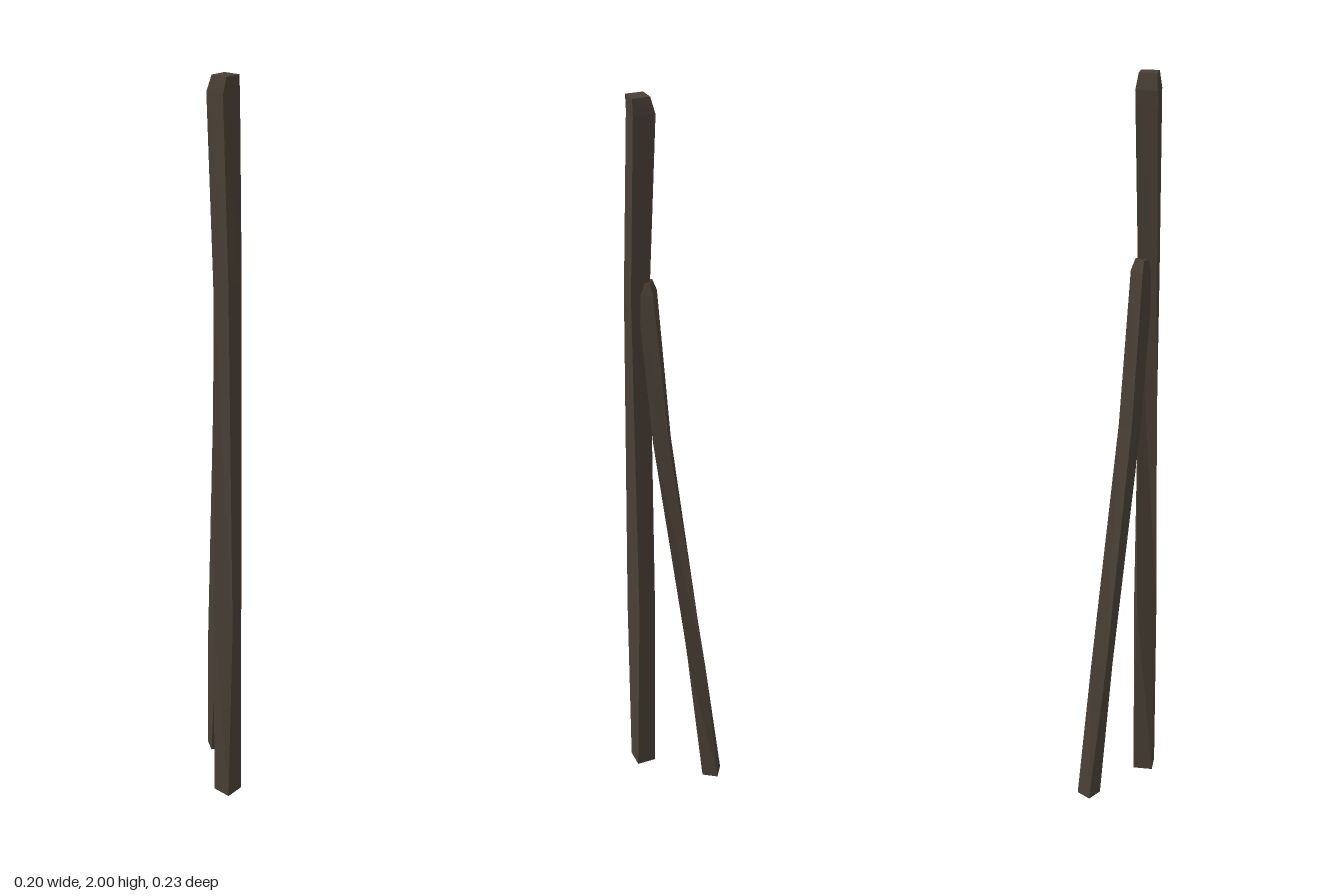
import * as THREE from 'three';

const wood = new THREE.MeshStandardMaterial({ color: 0x4a4036, flatShading: true });

// Rough-hewn beam: square sections [y, x, z, half width, twist in degrees], bottom to top
function beam(name, sections) {
  const pos = [];
  const rings = sections.map(([y, x, z, half, twist]) =>
    [0, 1, 2, 3].map((k) => {
      const a = THREE.MathUtils.degToRad(twist + 45 + 90 * k);
      const r = half * Math.SQRT2;
      return [x + r * Math.cos(a), y, z + r * Math.sin(a)];
    }));
  const quad = (a, b, c, d) => pos.push(...a, ...b, ...c, ...a, ...c, ...d);
  for (let i = 0; i < rings.length - 1; i++) {
    for (let k = 0; k < 4; k++) {
      const n = (k + 1) % 4;
      quad(rings[i][k], rings[i + 1][k], rings[i + 1][n], rings[i][n]);
    }
  }
  // End caps
  const [b, t] = [rings[0], rings[rings.length - 1]];
  quad(b[0], b[1], b[2], b[3]);
  quad(t[3], t[2], t[1], t[0]);
  const geo = new THREE.BufferGeometry();
  geo.setAttribute('position', new THREE.Float32BufferAttribute(pos, 3));
  geo.computeVertexNormals();
  const mesh = new THREE.Mesh(geo, wood);
  mesh.name = name;
  return mesh;
}

export function createModel() {
  const group = new THREE.Group();
  group.name = 'bracedPost';
  // Upright post with a slight twist and a chamfered top
  group.add(beam('post', [
    [0, -0.068, 0.08, 0.027, 0],
    [0.55, -0.068, 0.079, 0.0275, -16],
    [1.5, -0.07, 0.078, 0.0245, 0],
    [1.96, -0.068, 0.062, 0.0275, 4],
    [2, -0.068, 0.069, 0.0225, 0],
  ]));
  // Leaning brace, bent where it meets the post
  group.add(beam('brace', [
    [0, 0.069, -0.083, 0.0225, 34],
    [0.4, 0.036, -0.045, 0.0225, 16],
    [1.1, -0.03, 0.029, 0.021, 28],
    [1.51, -0.056, 0.056, 0.0205, 35],
    [1.54, -0.059, 0.06, 0.015, 35],
  ]));
  return group;
}
